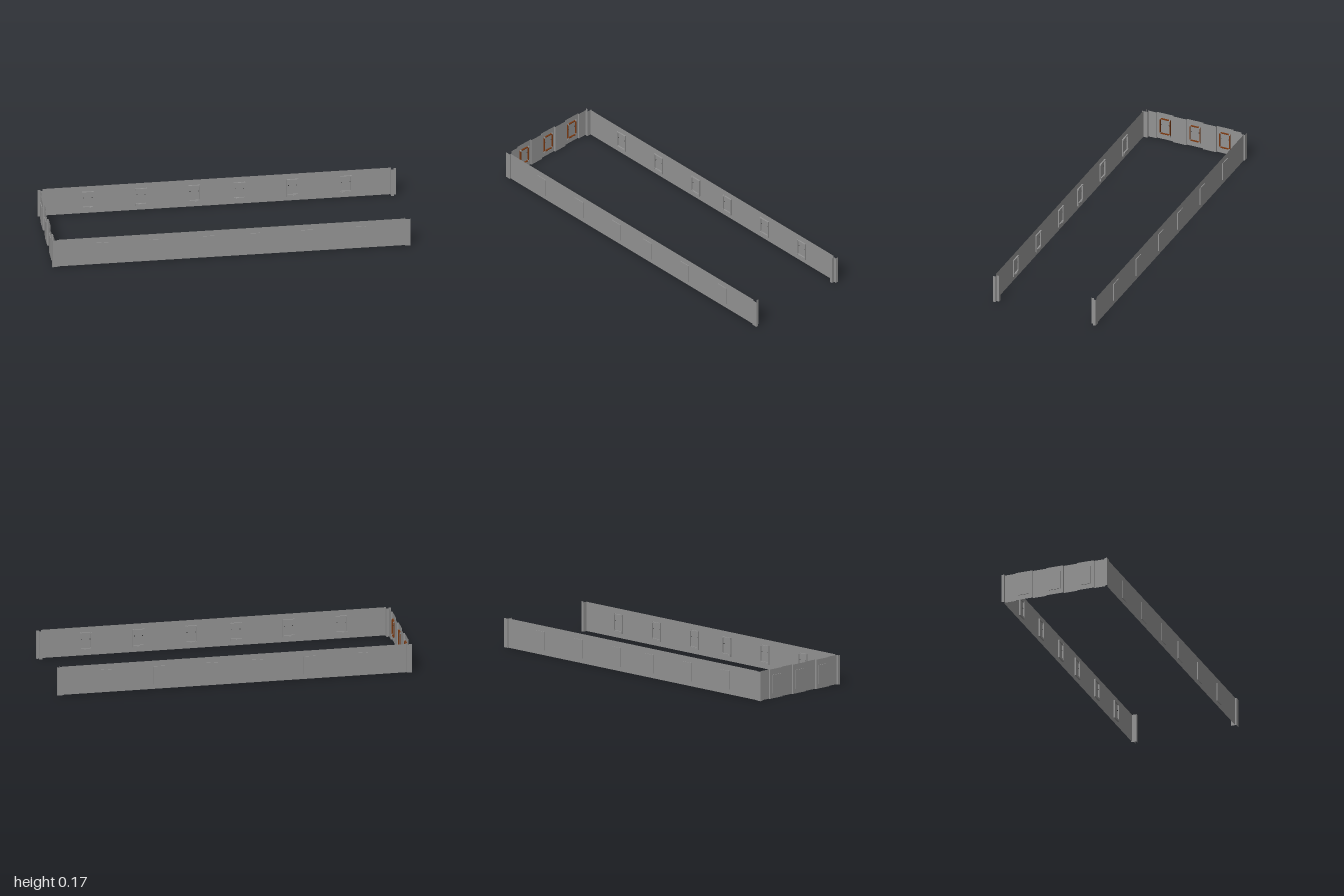
import * as THREE from 'three';

const H = 0.166;
const grey = new THREE.MeshStandardMaterial({ color: 0x929292 });
grey.name = 'wallGrey';
grey.side = THREE.DoubleSide;
const postGrey = grey.clone();
postGrey.name = 'postGrey';
postGrey.side = THREE.FrontSide;
const brown = new THREE.MeshStandardMaterial({ color: 0x7a3810 });
brown.name = 'frameBrown';
const dark = new THREE.MeshStandardMaterial({ color: 0x303030 });
dark.name = 'handleDark';

// Vertical sheet following a path of [x, z] points, without top or bottom
function sheet(name, path, material) {
  const pos = [];
  for (let i = 0; i < path.length - 1; i++) {
    const [ax, az] = path[i], [bx, bz] = path[i + 1];
    pos.push(ax, 0, az, bx, 0, bz, bx, H, bz, ax, 0, az, bx, H, bz, ax, H, az);
  }
  const g = new THREE.BufferGeometry();
  g.setAttribute('position', new THREE.Float32BufferAttribute(pos, 3));
  g.computeVertexNormals();
  const m = new THREE.Mesh(g, material);
  m.name = name;
  return m;
}

function box(name, w, h, d, x, y, z, material) {
  const m = new THREE.Mesh(new THREE.BoxGeometry(w, h, d), material);
  m.name = name;
  m.position.set(x, y, z);
  return m;
}

// Window facing outward along +z, with its frame on the inner side
function makeWindow(frameMaterial) {
  const g = new THREE.Group();
  g.name = 'window';
  const w = 0.066, y0 = 0.027, y1 = 0.133, t = 0.005;
  const mid = (y0 + y1) / 2;
  g.add(box('outerPanel', w, y1 - y0, 0.004, 0, mid, 0.002, grey));
  for (const s of [-1, 1]) {
    g.add(box('frameSide', t, y1 - y0 - 0.008, 0.008, s * (w - t) / 2, mid + 0.004, -0.004, frameMaterial));
    g.add(box('handle', 0.004, 0.003, 0.003, s * 0.023, 0.094, -0.0015, dark));
    // grey corner blocks over the frame
    for (const y of [y0 + 0.011, y1 - 0.003])
      g.add(box('cornerBlock', 0.008, 0.008, 0.009, s * (w / 2 - 0.004), y, -0.0045, grey));
  }
  g.add(box('frameTop', w - 2 * t, t, 0.008, 0, y1 - t / 2, -0.004, frameMaterial));
  g.add(box('frameBottom', w - 2 * t, t, 0.008, 0, y0 + 0.0105, -0.004, frameMaterial));
  g.add(box('sill', w, 0.008, 0.009, 0, y0 + 0.004, -0.0045, grey));
  return g;
}

export function createModel() {
  const model = new THREE.Group();
  model.name = 'enclosure';

  // Long walls with six windows each
  for (const s of [-1, 1]) {
    const wall = new THREE.Group();
    wall.name = s > 0 ? 'frontWall' : 'backWall';
    wall.add(sheet('wallSheet', [[-0.972, 0.306 * s], [0.972, 0.306 * s]], grey));
    for (const x of [-0.72, -0.423, -0.126, 0.126, 0.423, 0.72]) {
      const win = makeWindow(grey);
      win.position.set(x, 0, 0.306 * s);
      if (s < 0) win.rotation.y = Math.PI;
      wall.add(win);
    }
    model.add(wall);
  }

  // Short wall, with gently stepped panels around the windows
  const end = new THREE.Group();
  end.name = 'endWall';
  const path = [[-0.986, -0.285]];
  for (const z of [-0.182, 0, 0.182])
    path.push([-0.986, z - 0.051], [-0.994, z - 0.05], [-0.994, z + 0.05], [-0.986, z + 0.051]);
  path.push([-0.986, 0.285]);
  end.add(sheet('wallSheet', path, grey));
  for (const z of [-0.182, 0, 0.182]) {
    const win = makeWindow(brown);
    win.position.set(-0.994, 0, z);
    win.rotation.y = -Math.PI / 2;
    end.add(win);
  }
  model.add(end);

  // Hollow corner posts with a notch on the inner corner
  const outline = [[0.97, 0.281], [0.97, 0.313], [1, 0.313], [1, 0.298], [0.986, 0.298], [0.986, 0.281], [0.97, 0.281]];
  for (const sx of [-1, 1])
    for (const sz of [-1, 1]) {
      const pts = outline.map(([x, z]) => [x * sx, z * sz]);
      if (sx * sz < 0) pts.reverse();
      model.add(sheet('cornerPost', pts, postGrey));
    }
  return model;
}
